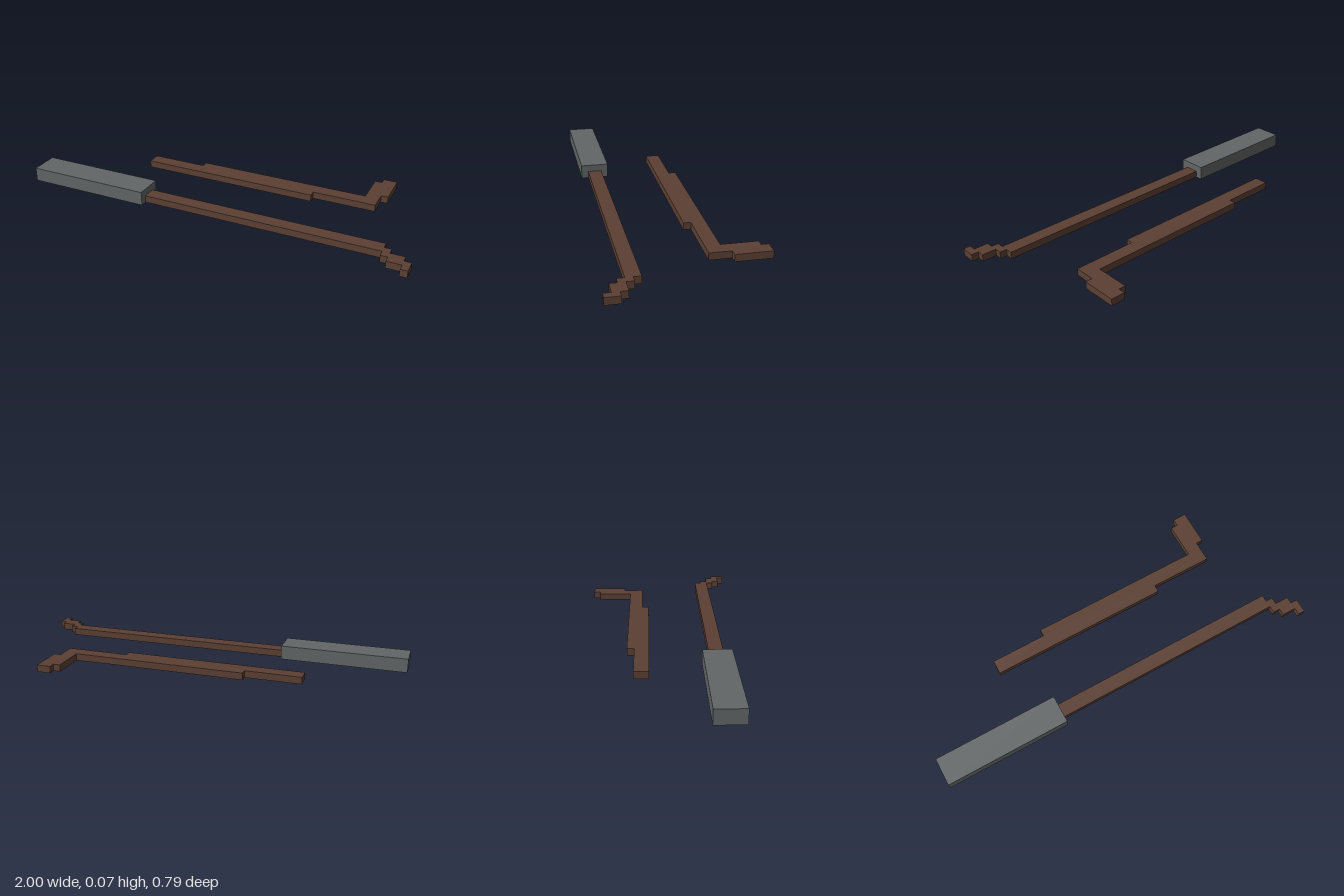
import * as THREE from 'three';

const U = 1 / 28; // one grid cell

// Flat slab standing on y = 0, from an outline of [x, z] points in cells
function slab(name, outline, height, material) {
  const shape = new THREE.Shape(outline.map(([x, z]) => new THREE.Vector2(x * U, -z * U)));
  const geometry = new THREE.ExtrudeGeometry(shape, { depth: height * U, bevelEnabled: false });
  geometry.rotateX(-Math.PI / 2);
  const mesh = new THREE.Mesh(geometry, material);
  mesh.name = name;
  return mesh;
}

export function createModel() {
  const wood = new THREE.MeshStandardMaterial({ color: 0x5c4033 });
  wood.name = 'dark brown wood';
  const metal = new THREE.MeshStandardMaterial({ color: 0x616666 });
  metal.name = 'grey metal';

  const model = new THREE.Group();
  model.name = 'pairOfSticks';

  // Front stick: grey block head, straight shaft and stepped hooked tip
  const frontStick = new THREE.Group();
  frontStick.name = 'frontStick';
  const head = new THREE.Mesh(new THREE.BoxGeometry(18 * U, 2 * U, 4 * U), metal);
  head.name = 'head';
  head.position.set(-19 * U, U, 7 * U);
  frontStick.add(head, slab('shaftWithHook', [
    [-10, 6], [24, 6], [24, 7], [25, 7], [25, 8], [27, 8], [27, 9], [28, 9],
    [28, 11], [27, 11], [27, 10], [25, 10], [25, 9], [24, 9], [24, 8], [-10, 8],
  ], 1, wood));

  // Back stick: stepped bar with a bent handle
  const backStick = slab('backStickWithHandle', [
    [-15, -4], [-7, -4], [-7, -5], [18, -5], [18, -10], [19, -10], [19, -11], [21, -11],
    [21, -6], [20, -6], [20, -3], [11, -3], [11, -2], [-15, -2],
  ], 1, wood);

  model.add(frontStick, backStick);
  return model;
}
